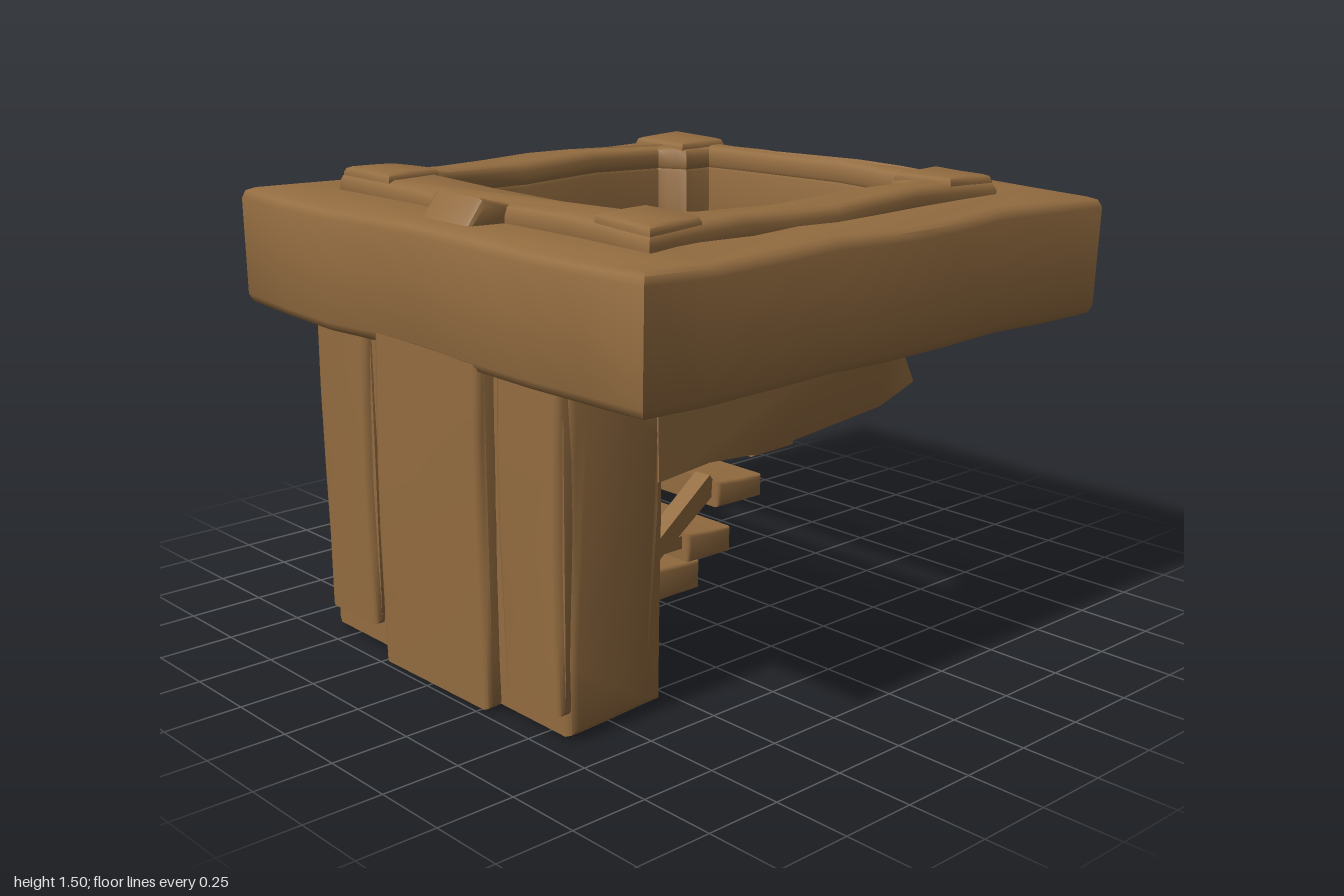
import * as THREE from 'three';
import { toCreasedNormals } from 'three/addons/utils/BufferGeometryUtils.js';

const wood = new THREE.MeshStandardMaterial({ color: 0x936c40 });
wood.name = 'brownWood';

// Gentle hand-hewn unevenness that depends only on position
function roughen(geo, amount) {
  const p = geo.attributes.position;
  for (let i = 0; i < p.count; i++) {
    const x = p.getX(i), y = p.getY(i), z = p.getZ(i);
    p.setXYZ(i,
      x + amount * Math.sin(7 * z + 5 * y + 1),
      y + amount * Math.sin(6 * x + 8 * z),
      z + amount * Math.sin(8 * x + 4 * y + 2));
  }
  return toCreasedNormals(geo, 0.85);
}

// Outline through corner points, each side cut into n pieces
function outline(corners, n) {
  const pts = [];
  corners.forEach(([ax, ay], i) => {
    const [bx, by] = corners[(i + 1) % corners.length];
    for (let k = 0; k < n; k++) pts.push(new THREE.Vector2(ax + (bx - ax) * k / n, ay + (by - ay) * k / n));
  });
  return pts;
}

function extrude(shape, depth, bevel) {
  const geo = new THREE.ExtrudeGeometry(shape, {
    depth: depth - 2 * bevel, bevelEnabled: bevel > 0, bevelThickness: bevel,
    bevelSize: bevel, bevelOffset: -bevel, bevelSegments: 2,
  });
  return geo.translate(0, 0, bevel);
}

export function createModel() {
  const model = new THREE.Group();
  const add = (name, geo) => {
    const mesh = new THREE.Mesh(geo, wood);
    mesh.name = name;
    model.add(mesh);
  };

  // Horizontal plate from [x, -z] corners with an optional hole
  const plate = (name, corners, hole, y0, y1, bevel, n = 8) => {
    const shape = new THREE.Shape(outline(corners, n));
    if (hole) shape.holes.push(new THREE.Path(outline(hole, 3)));
    const geo = extrude(shape, y1 - y0, bevel).rotateX(-Math.PI / 2).translate(0, y0, 0);
    add(name, roughen(geo, 0.007));
  };
  // Upright piece from a [z, y] profile, spanning x0 to x1
  const profile = (name, pts, x0, x1, bevel = 0, n = 1) => {
    const geo = extrude(new THREE.Shape(outline(pts, n)), x1 - x0, bevel)
      .rotateY(-Math.PI / 2).translate(x1, 0, 0);
    add(name, roughen(geo, 0.005));
  };
  const square = (r) => [[-r, -r], [r, -r], [r, r], [-r, r]];

  // Heavy square frame and its raised inner rim
  const opening = [[-0.58, -0.43], [-0.52, -0.53], [0.52, -0.53], [0.58, -0.43],
    [0.58, 0.5], [0.48, 0.54], [0.48, 0.65], [-0.48, 0.65], [-0.48, 0.54], [-0.58, 0.5]];
  plate('topFrame', square(0.985), opening, 1.035, 1.425, 0.035);
  plate('raisedRim', square(0.75), opening, 1.38, 1.475, 0.03);

  // Corner pads on the rim
  for (const sx of [-1, 1]) for (const sz of [-1, 1]) {
    const cx = sx * 0.62, cz = sz * 0.64;
    plate('cornerPad', [[cx - 0.12, cz - 0.1], [cx + 0.12, cz - 0.1], [cx + 0.12, cz + 0.1], [cx - 0.12, cz + 0.1]],
      null, 1.42, 1.495, 0.02, 2);
  }

  // Low ridge along the front of the rim
  profile('frontRidge', [[0.9, 1.4], [0.83, 1.5], [0.7, 1.47], [0.7, 1.4]], -0.12, 0.12, 0.02);

  // Front wall with a proud centre panel
  profile('frontWall', [[0.57, 0.02], [0.93, 0.02], [0.93, 1.06], [0.57, 1.06]], -0.62, 0.61, 0.03, 5);
  profile('frontPanel', [[0.85, 0.005], [0.985, 0.005], [0.985, 1.07], [0.85, 1.07]], -0.25, 0.28, 0.02, 5);
  for (const x of [-0.6, 0.33]) {
    profile('sidePanel', [[0.88, 0.09], [0.96, 0.09], [0.96, 1.06], [0.88, 1.06]], x, x + 0.27, 0.02, 4);
  }

  // Thin stair walls with ragged back ends
  const wallFront = [[0.6, 1.06], [0.6, 0.71], [0.4, 0.73], [0.2, 0.72]];
  profile('leftWall', [...wallFront, [0, 0.73], [-0.36, 0.76], [-0.52, 0.82], [-0.4, 1.06]].reverse(), 0.585, 0.615);
  profile('rightWall', [...wallFront, [-0.38, 0.75], [-0.61, 0.71], [-0.575, 0.85], [-0.6, 1.06]].reverse(), -0.62, -0.585);

  // Steps going down to the front: back z, front z, top y, thickness
  const steps = [
    [-0.66, -0.46, 1.22, 0.1], [-0.47, -0.32, 1.1, 0.07], [-0.34, -0.13, 0.99, 0.07],
    [-0.1, -0.02, 0.87, 0.06], [0, 0.18, 0.76, 0.06], [0.14, 0.33, 0.64, 0.07],
    [0.27, 0.45, 0.5, 0.08], [0.4, 0.59, 0.42, 0.09],
  ];
  for (const [z0, z1, y, t] of steps) {
    profile('step', [[z0, y - t], [z1, y - t], [z1, y + 0.01], [z0, y]], -0.59, 0.59, 0.012, 2);
  }

  // Slanted braces holding the lower steps to the wall
  for (const x of [-0.56, 0.5]) {
    profile('stepBrace', [[0.3, 0.62], [0.55, 0.44], [0.57, 0.49], [0.34, 0.67]], x, x + 0.06);
    profile('stepBracket', [[0.4, 0.46], [0.57, 0.46], [0.57, 0.5], [0.4, 0.5]], x, x + 0.06);
  }

  // Loose fibres hanging from the ragged wall end
  const fibre = (pts) => {
    const curve = new THREE.CatmullRomCurve3(pts.map(([z, y]) => new THREE.Vector3(-0.6, y, z)));
    add('looseFibre', new THREE.TubeGeometry(curve, 24, 0.004, 5));
  };
  fibre([[-0.59, 0.73], [-0.61, 0.6], [-0.62, 0.4]]);
  fibre([[-0.6, 0.71], [-0.55, 0.61], [-0.45, 0.58], [-0.31, 0.63], [-0.38, 0.69], [-0.48, 0.7], [-0.54, 0.64]]);

  return model;
}
